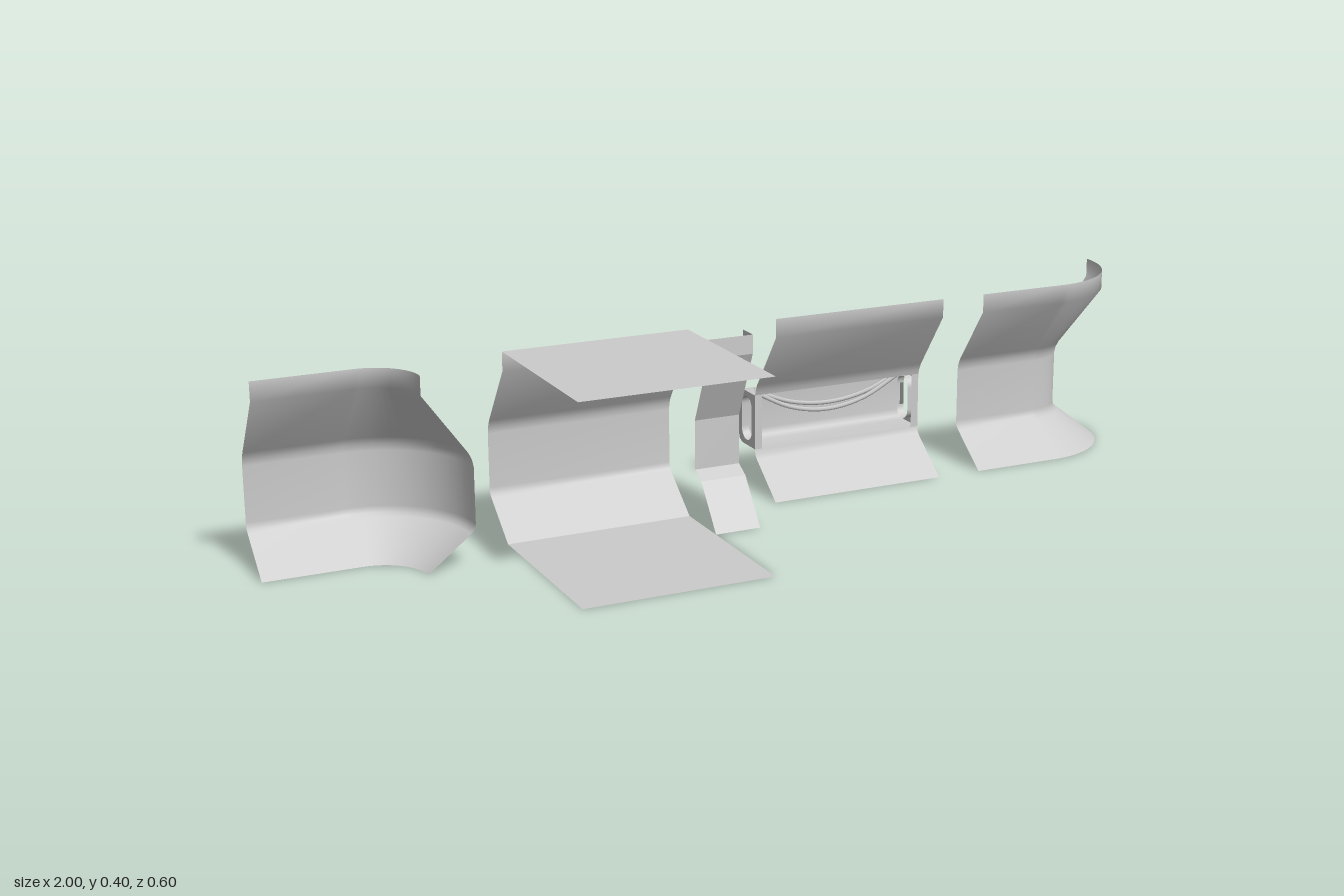
import * as THREE from 'three';

const material = new THREE.MeshStandardMaterial({ color: 0xcccccc, side: THREE.DoubleSide });

// Cross-sections as [depth behind z = 0, height]
const wallProfile = [[0.1, 0], [0.19, 0.07], [0.197, 0.077], [0.2, 0.09], [0.2, 0.205],
  [0.197, 0.22], [0.19, 0.235], [0.1, 0.36], [0.1, 0.4]];
const lowerWall = wallProfile.slice(0, 4);
const upperWall = [[0.2, 0.21], ...wallProfile.slice(5)];
const postFront = [[-0.03, 0], [0.04, 0.093], [0.07, 0.11], [0.07, 0.215], [0.005, 0.36], [0.005, 0.4]];
const postBack = [[0.05, 0.4], [0.05, 0.36], [0.147, 0.22], [0.147, 0.037], [0.1, 0]];

function mesh(name, geometry) {
  const m = new THREE.Mesh(geometry, material);
  m.name = name;
  return m;
}

// Sweeps a profile through stations; each station maps (depth, height) to a point
function sweep(name, profile, stations, flat = false) {
  const positions = [], index = [], n = profile.length;
  for (const place of stations) for (const [d, y] of profile) positions.push(...place(d, y));
  for (let i = 0; i < stations.length - 1; i++) {
    for (let j = 0; j < n - 1; j++) {
      const a = i * n + j, b = a + n;
      index.push(a, b, b + 1, a, b + 1, a + 1);
    }
  }
  let g = new THREE.BufferGeometry();
  g.setAttribute('position', new THREE.Float32BufferAttribute(positions, 3));
  g.setIndex(index);
  if (flat) g = g.toNonIndexed();
  g.computeVertexNormals();
  return mesh(name, g);
}

const at = (x) => (d, y) => [x, y, -d];
const straight = (x0, x1) => [at(x0), at(x1)];

// Flat plate standing across the x axis
function plate(name, shape, x) {
  const g = new THREE.ShapeGeometry(shape);
  g.rotateY(Math.PI / 2);
  g.translate(x, 0, 0);
  return mesh(name, g);
}

const toShape = (points) => new THREE.Shape(points.map(([d, y]) => new THREE.Vector2(d, y)));

function quarterTurn(place, steps = 16) {
  return Array.from({ length: steps + 1 }, (_, i) => {
    const t = (i / steps) * Math.PI / 2;
    return (d, y) => place(d, y, Math.sin(t), Math.cos(t));
  });
}

export function createModel() {
  const model = new THREE.Group();
  model.name = 'corridorWallKit';

  // Corner turning towards the front
  model.add(sweep('innerCornerWall', wallProfile, [at(-1),
    ...quarterTurn((d, y, s, c) => [-0.8 + d * s, y, -d * c])]));

  // Corner turning towards the back
  model.add(sweep('outerCornerWall', wallProfile, [at(0.6),
    ...quarterTurn((d, y, s, c) => [0.8 + (0.3 - d) * s, y, -0.3 + (0.3 - d) * c])]));

  // Straight section with floor and ceiling
  const hall = new THREE.Group();
  hall.name = 'straightSection';
  hall.add(sweep('straightWall', wallProfile, straight(-0.5, -0.1)));
  for (const [name, y] of [['floor', 0], ['ceiling', 0.4]]) {
    const g = new THREE.PlaneGeometry(0.4, 0.4);
    g.rotateX(-Math.PI / 2);
    g.translate(-0.3, y, 0.1);
    hall.add(mesh(name, g));
  }
  model.add(hall);

  // Door post: folded front strip and a side plate
  const post = new THREE.Group();
  post.name = 'doorPost';
  post.add(sweep('postFront', postFront, straight(-0.1, 0), true));
  post.add(plate('postSide', toShape([...postFront, ...postBack]), 0));
  model.add(post);

  // Wall section with a cable recess
  const recess = new THREE.Group();
  recess.name = 'cableRecessSection';
  recess.add(sweep('lowerWall', lowerWall, straight(0.1, 0.5)));
  recess.add(sweep('upperWall', upperWall, straight(0.1, 0.5)));
  const shell = [[0.2, 0.09], [0.262, 0.09], [0.275, 0.096], [0.28, 0.11],
    [0.28, 0.19], [0.275, 0.204], [0.262, 0.21], [0.2, 0.21]];
  recess.add(sweep('recessShell', shell, straight(0.1, 0.5)));
  for (const [x0, x1, xEnd] of [[0.1, 0.117, 0.1], [0.483, 0.5, 0.5]]) {
    recess.add(sweep('openingJamb', [[0.2, 0.09], [0.2, 0.21]], straight(x0, x1)));
    // Rimmed end with a long hole
    const end = toShape(shell);
    const hole = new THREE.Path();
    hole.absarc(0.24, 0.175, 0.024, 0, Math.PI, false);
    hole.absarc(0.24, 0.125, 0.024, Math.PI, Math.PI * 2, false);
    end.holes.push(hole);
    recess.add(plate('recessEnd', end, xEnd));
    recess.add(sweep('endHoleLining', hole.getPoints(8).map((p) => [p.x, p.y]),
      straight(x0, x1)));
  }
  // Sagging cables
  for (const [low, z, x0, x1] of [[0.148, -0.235, 0.115, 0.47], [0.16, -0.245, 0.12, 0.475]]) {
    const mid = (x0 + x1) / 2;
    const points = [-1, -0.5, 0, 0.5, 1].map((t) =>
      new THREE.Vector3(mid + t * (x1 - x0) / 2, low + (0.207 - low) * t * t, z));
    recess.add(mesh('cable', new THREE.TubeGeometry(new THREE.CatmullRomCurve3(points), 20, 0.005, 6)));
  }
  model.add(recess);

  return model;
}
